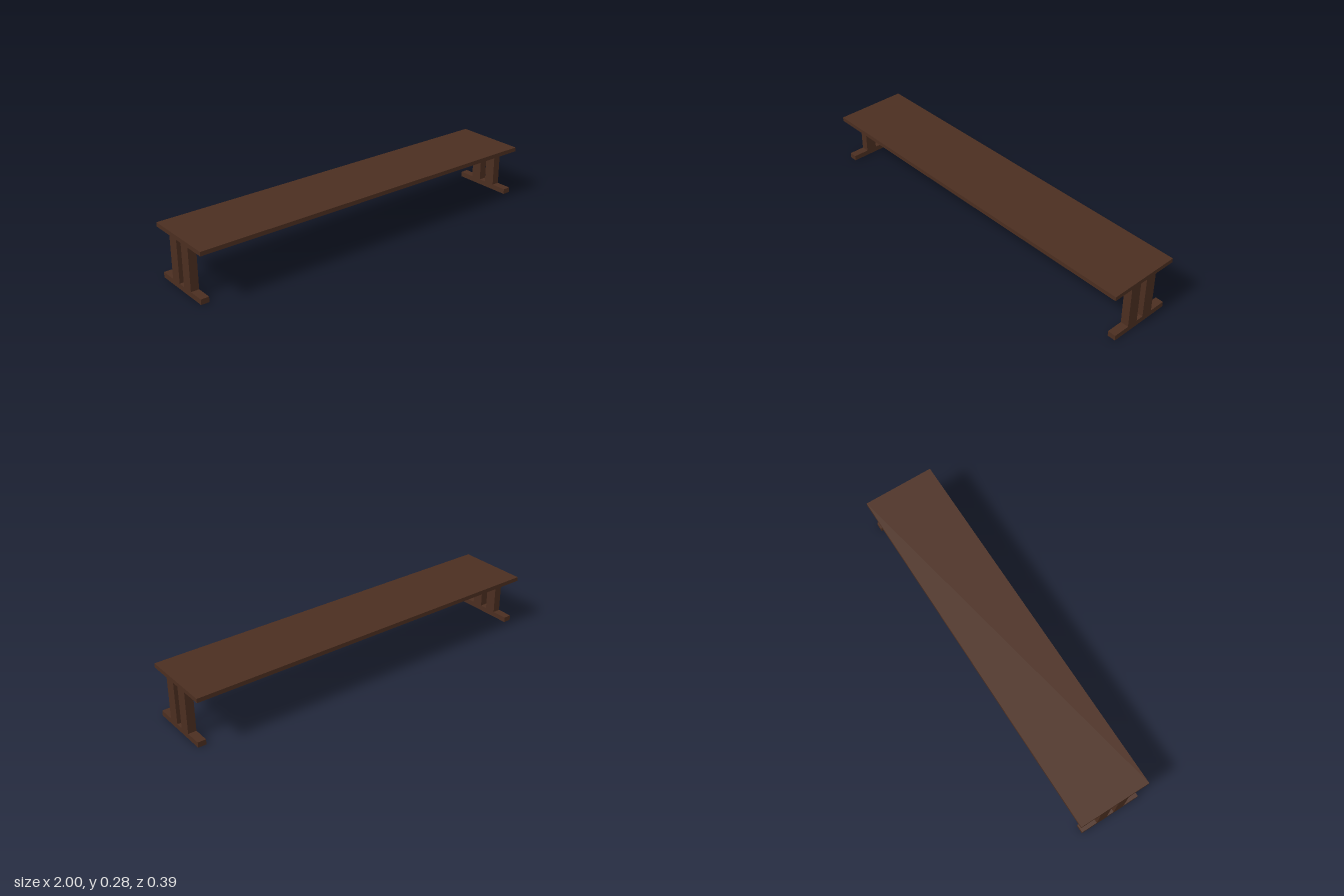
import * as THREE from 'three';

const wood = new THREE.MeshStandardMaterial({ color: 0x4b2e20 });

// Box given by its min and max corners
function board(name, [x0, y0, z0], [x1, y1, z1]) {
  const geometry = new THREE.BoxGeometry(x1 - x0, y1 - y0, z1 - z0);
  const mesh = new THREE.Mesh(geometry, wood);
  mesh.position.set((x0 + x1) / 2, (y0 + y1) / 2, (z0 + z1) / 2);
  mesh.name = name;
  return mesh;
}

// End support: a long foot carrying two upright posts
function support(name, x0, x1) {
  const group = new THREE.Group();
  group.name = name;
  group.add(
    board('foot', [x0, 0, -0.164], [x1, 0.028, 0.168]),
    board('frontPost', [x0, 0.028, 0.022], [x1, 0.253, 0.082]),
    board('backPost', [x0, 0.028, -0.078], [x1, 0.253, -0.018]),
  );
  return group;
}

export function createModel() {
  const bench = new THREE.Group();
  bench.name = 'bench';
  bench.add(
    board('seat', [-1, 0.253, -0.193], [1, 0.275, 0.193]),
    support('leftSupport', 0.956, 0.999),
    support('rightSupport', -0.999, -0.956),
  );
  return bench;
}
